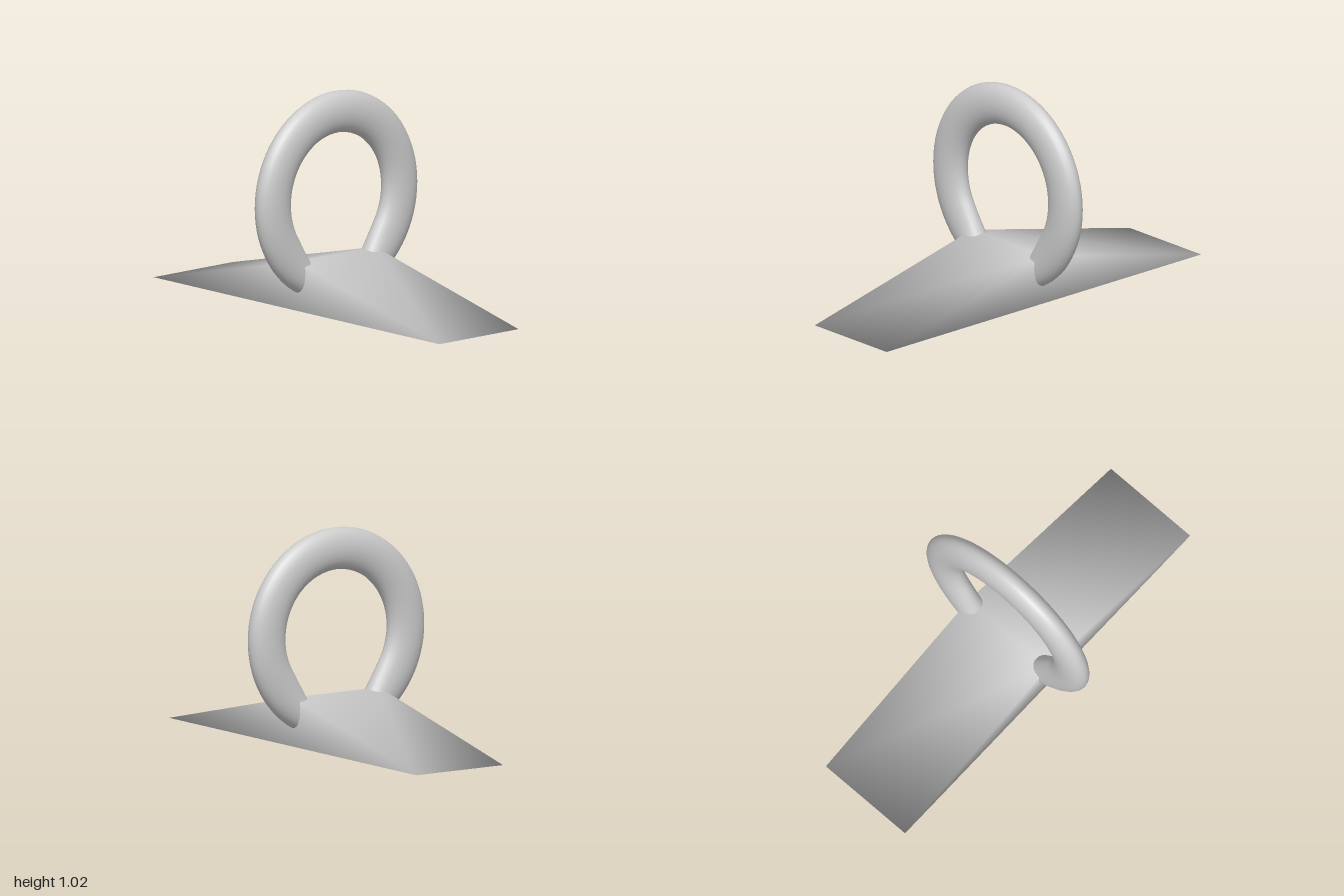
import * as THREE from 'three';
import { mergeVertices } from 'three/addons/utils/BufferGeometryUtils.js';

const material = new THREE.MeshStandardMaterial({ color: 0xcccccc });

// Long triangular wedge, ridge running along x, normals shared across its corners
function createBase() {
  const profile = new THREE.Shape([
    new THREE.Vector2(-1, 0),
    new THREE.Vector2(1, 0),
    new THREE.Vector2(0, 0.234),
  ]);
  let geometry = new THREE.ExtrudeGeometry(profile, { depth: 0.5, bevelEnabled: false });
  geometry.translate(0, 0, -0.25).rotateY(Math.PI / 2);
  geometry.deleteAttribute('normal');
  geometry.deleteAttribute('uv');
  geometry = mergeVertices(geometry);
  geometry.computeVertexNormals();
  const base = new THREE.Mesh(geometry, material);
  base.name = 'wedgeBase';
  return base;
}

// Flattened ring, open at the bottom; its inner side runs straight into the base
function createRing() {
  const inner = 0.3, outer = 0.5, flatness = 0.62;
  const below = THREE.MathUtils.degToRad(72);
  const tangent = THREE.MathUtils.degToRad(30);
  const geometry = new THREE.TorusGeometry(0.4, 0.1, 24, 72, Math.PI + 2 * below);
  geometry.rotateZ(-below).scale(1, 1, flatness);

  const position = geometry.attributes.position;
  for (let i = 0; i < position.count; i++) {
    const x = position.getX(i), y = position.getY(i);
    const drop = Math.atan2(-y, Math.abs(x));
    if (drop <= tangent) continue;
    const radius = Math.hypot(x, y);
    const innerHere = inner / Math.cos(drop - tangent);
    const t = (radius - inner) / (outer - inner);
    const k = THREE.MathUtils.lerp(innerHere, outer, t) / radius;
    position.setXY(i, x * k, y * k);
  }

  // Weld the tube seam so the shading stays smooth
  geometry.deleteAttribute('normal');
  geometry.deleteAttribute('uv');
  const smooth = mergeVertices(geometry);
  smooth.computeVertexNormals();
  const ring = new THREE.Mesh(smooth, material);
  ring.position.y = 0.52;
  ring.name = 'ring';
  return ring;
}

export function createModel() {
  const model = new THREE.Group();
  model.name = 'ringOnWedge';
  model.add(createBase(), createRing());
  return model;
}
